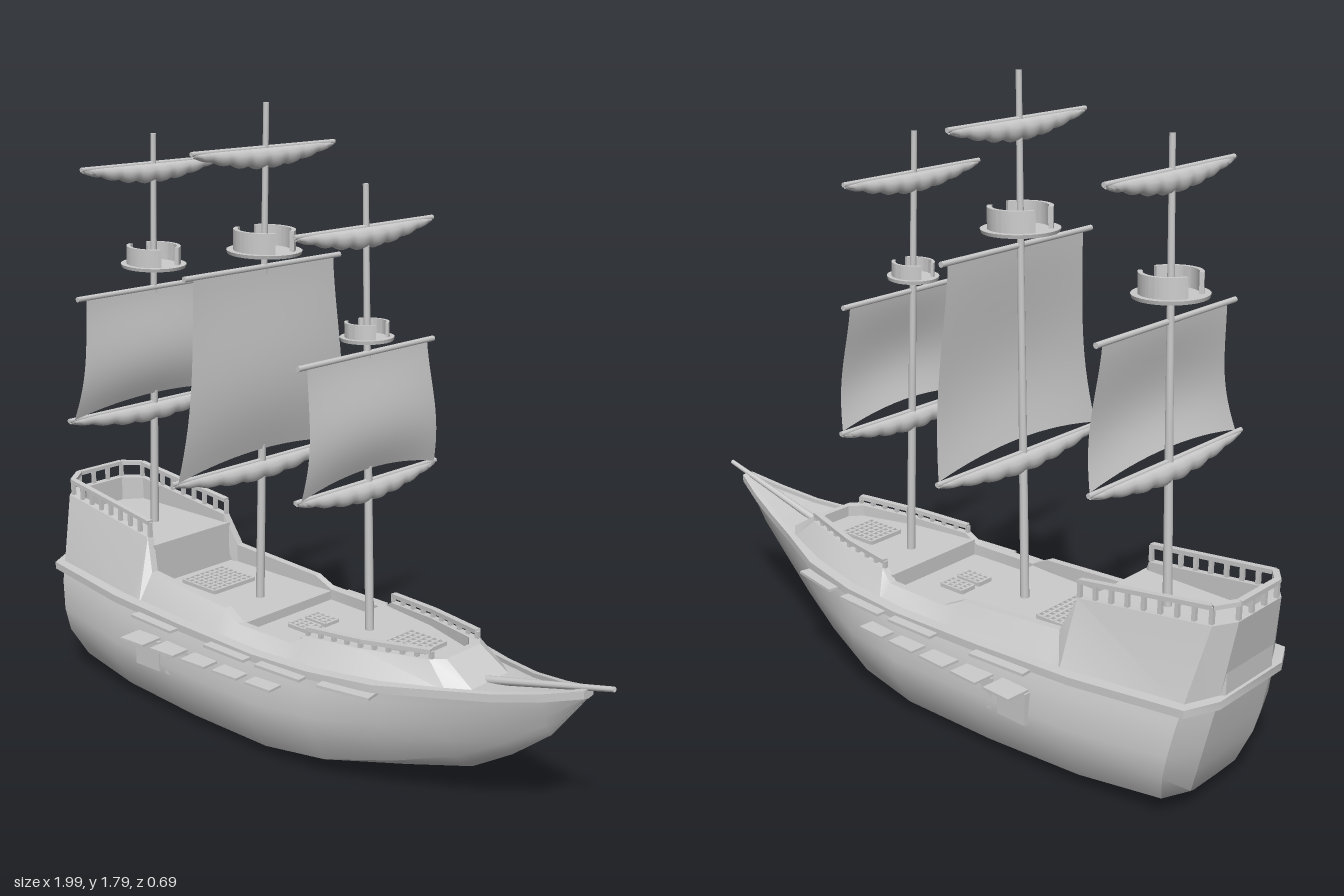
import * as THREE from 'three';
import { toCreasedNormals } from 'three/addons/utils/BufferGeometryUtils.js';

const V = (x, y, z) => new THREE.Vector3(x, y, z);
const grey = new THREE.MeshStandardMaterial({ color: 0xcccccc });
const thin = new THREE.MeshStandardMaterial({ color: 0xcccccc, side: THREE.DoubleSide });
const lerp = THREE.MathUtils.lerp;

function add(parent, name, geo, mat = grey, x = 0, y = 0, z = 0) {
  const m = new THREE.Mesh(geo, mat);
  m.name = name;
  m.position.set(x, y, z);
  parent.add(m);
  return m;
}

// Value of column c in a table sorted by column 0
function at(rows, x, c) {
  let i = 0;
  while (i < rows.length - 2 && x > rows[i + 1][0]) i++;
  const a = rows[i], b = rows[i + 1];
  return lerp(a[c], b[c], THREE.MathUtils.clamp((x - a[0]) / (b[0] - a[0]), 0, 1));
}

// Skin over a list of cross-sections
function loft(rows, closeRing = false, closePath = false, crease = 0.5) {
  const n = rows[0].length, m = rows.length, idx = [];
  for (let i = 0; i < (closePath ? m : m - 1); i++)
    for (let j = 0; j < (closeRing ? n : n - 1); j++) {
      const i2 = (i + 1) % m, j2 = (j + 1) % n;
      const a = i * n + j, b = i2 * n + j, c = i2 * n + j2, d = i * n + j2;
      idx.push(a, b, d, b, c, d);
    }
  const g = new THREE.BufferGeometry().setFromPoints(rows.flat());
  g.setIndex(idx);
  return toCreasedNormals(g, crease);
}

// Square bar between two points
function bar(parent, name, a, b, w, h) {
  const m = add(parent, name, new THREE.BoxGeometry(w, h, a.distanceTo(b)));
  m.position.copy(a).lerp(b, 0.5);
  m.lookAt(b);
}

// Hull stations: x at wale, x at keel, keel y, wale y, half width, sharpness
const stations = [
  [-0.955, -0.84, 0.03, 0.355, 0.13, 0], [-0.91, -0.81, 0.03, 0.35, 0.23, 0],
  [-0.6, -0.6, 0.012, 0.335, 0.265, 0], [-0.3, -0.3, 0.005, 0.33, 0.276, 0],
  [0, 0, 0.008, 0.325, 0.274, 0], [0.2, 0.2, 0.02, 0.33, 0.255, 0.15],
  [0.4, 0.4, 0.055, 0.34, 0.205, 0.45], [0.57, 0.57, 0.1, 0.355, 0.14, 0.75],
  [0.7, 0.7, 0.18, 0.37, 0.09, 0.9], [0.82, 0.82, 0.275, 0.395, 0.05, 1],
  [0.925, 0.92, 0.405, 0.425, 0.012, 1],
];
const fullH = [0, 0.015, 0.1, 0.37, 0.58, 0.85, 1], fullW = [0, 0.4, 0.78, 0.97, 1, 0.96, 0.9];
const sharpH = [0, 0.1, 0.25, 0.45, 0.65, 0.85, 1], sharpW = [0, 0.22, 0.42, 0.62, 0.8, 0.93, 1];
const waleY = x => at(stations, x, 3);
const waleZ = x => at(stations, x, 4) * lerp(0.9, 1, at(stations, x, 5));

// Upper works: x top, y top, z top, x bottom, z bottom
const upper = [
  [-0.985, 0.565, 0.095, -0.955, 0.117], [-0.945, 0.56, 0.15, -0.91, 0.207],
  [-0.55, 0.515, 0.165, -0.55, 0.235], [-0.51, 0.42, 0.185, -0.51, 0.24],
  [-0.18, 0.4, 0.195, -0.18, 0.245], [-0.12, 0.37, 0.2, -0.12, 0.245],
  [0.09, 0.37, 0.195, 0.09, 0.24], [0.13, 0.4, 0.185, 0.13, 0.235],
  [0.3, 0.407, 0.16, 0.3, 0.215], [0.5, 0.418, 0.105, 0.57, 0.12],
  [0.53, 0.418, 0.07, 0.62, 0.075],
];
const both = (list, f) => [...list.map(r => f(r, 1)), ...[...list].reverse().map(r => f(r, -1))];

function buildHull(ship) {
  const rows = stations.map(([x, xk, yk, yw, w, b]) => {
    const half = fullH.map((h, k) => {
      const t = lerp(h, sharpH[k], b);
      return V(lerp(xk, x, Math.sqrt(t)), lerp(yk, yw, t), w * lerp(fullW[k], sharpW[k], b));
    });
    return [...half.slice(1).reverse().map(p => V(p.x, p.y, -p.z)), ...half];
  });
  add(ship, 'hull', loft(rows), thin);
  add(ship, 'transom', loft([rows[0].slice(0, 7).reverse(), rows[0].slice(6)]), thin);
  add(ship, 'bowTip', loft([rows[10].slice(6), rows[10].slice(0, 7).reverse()]), thin);
  add(ship, 'beakDeck', loft(rows.slice(6).map(r => [r[12], r[0]])), thin);

  // Wale moulding round the hull
  const wale = both(stations, ([x, , , y, , ], s) => {
    const z = waleZ(x), e = x > 0.5 ? 0.008 : 0.022, back = x < -0.9 ? 0.018 : 0;
    return [V(x, y - 0.016, s * (z - 0.01)), V(x - back, y - 0.012, s * (z + e)),
      V(x - back, y + 0.01, s * (z + e)), V(x, y + 0.012, s * (z - 0.01))];
  });
  add(ship, 'wale', loft(wale, true, true), thin);

  // Bulwark with inner face
  const walls = both(upper, ([xt, yt, zt, xb, zb], s) => {
    const xi = xt < -0.9 ? xt + 0.025 : xt > 0.45 ? xt - 0.02 : xt;
    return [V(xb, waleY(xb), s * zb), V(xt, yt, s * zt), V(xi, yt, s * (zt - 0.022)), V(xi, yt - 0.09, s * (zt - 0.022))];
  });
  add(ship, 'bulwark', loft(walls, false, true, 0.4), thin);

  // Decks, each deep enough to form the bulkhead at its step
  for (const [name, x0, x1, y] of [['poopDeck', -0.965, -0.535, 0.49], ['quarterDeck', -0.54, -0.12, 0.365],
    ['waistDeck', -0.125, 0.11, 0.338], ['forecastleDeck', 0.1, 0.515, 0.385]]) {
    const xs = [x0, ...upper.map(r => r[0]).filter(x => x > x0 && x < x1), x1];
    const pts = both(xs, (x, s) => new THREE.Vector2(x, s * (at(upper, x, 2) - 0.018)));
    const g = new THREE.ExtrudeGeometry(new THREE.Shape(pts), { depth: 0.13, bevelEnabled: false });
    add(ship, name, g.rotateX(Math.PI / 2), grey, 0, y, 0);
  }
}

function buildRails(ship) {
  const rail = (name, list, h, step) => {
    for (let i = 0; i < list.length - 1; i++) {
      const a = list[i], b = list[i + 1], up = V(0, h, 0);
      bar(ship, name, a.clone().add(up), b.clone().add(up), 0.018, 0.012);
      const n = Math.max(1, Math.round(a.distanceTo(b) / step));
      for (let k = 0; k <= n; k++) {
        const p = a.clone().lerp(b, k / n);
        add(ship, name + 'Post', new THREE.BoxGeometry(0.011, h, 0.011), grey, p.x, p.y + h / 2, p.z);
      }
    }
  };
  const pt = (r, s) => V(r[0] + (r[0] < -0.9 ? 0.008 : 0), r[1], s * (r[2] - 0.01));
  const poop = both(upper.slice(0, 3), pt);
  rail('poopRail', [...poop.slice(3), ...poop.slice(0, 3)], 0.045, 0.05);
  for (const s of [1, -1]) rail('forecastleRail', upper.slice(7, 10).map(r => pt(r, s)), 0.02, 0.045);
}

function buildSideFittings(ship) {
  for (const s of [1, -1]) {
    // Gun ports with raised lids
    for (let i = 0; i < 5; i++) {
      const x = -0.43 + i * 0.122, z = 0.272 - 0.07 * (x + 0.43);
      add(ship, 'gunPort', new THREE.BoxGeometry(0.098, 0.09, 0.03), grey, x, 0.215, s * (z - 0.008)).rotation.y = s * 0.05;
      add(ship, 'gunPortLid', new THREE.BoxGeometry(0.092, 0.007, 0.075), grey, x, 0.267, s * (z + 0.03)).rotation.y = s * 0.07;
    }
    // Rigging channels
    for (const [x0, x1] of [[-0.48, -0.3], [-0.16, 0], [0.04, 0.2], [0.25, 0.41]]) {
      const x = (x0 + x1) / 2, turn = Math.atan2(waleZ(x0) - waleZ(x1), x1 - x0);
      add(ship, 'channel', new THREE.BoxGeometry(x1 - x0, 0.008, 0.06), grey, x, 0.322, s * (waleZ(x) + 0.022)).rotation.y = s * turn;
    }
  }
}

// Hatch grating: frame and crossing slats
function grating(ship, x, y, z, w, d) {
  const g = new THREE.Group();
  g.name = 'grating';
  g.position.set(x, y, z);
  ship.add(g);
  const nx = Math.round(w / 0.02), nz = Math.round(d / 0.02);
  for (let i = 0; i <= nx; i++)
    add(g, 'slat', new THREE.BoxGeometry(0.008, 0.012, d), grey, (i / nx - 0.5) * w, 0.004, 0);
  for (let i = 0; i <= nz; i++)
    add(g, 'slat', new THREE.BoxGeometry(w, 0.012, 0.008), grey, 0, 0.003, (i / nz - 0.5) * d);
}

// Yard with a furled, scalloped sail hanging below it
function furledYard(mast, y, half, depth) {
  const yard = new THREE.CylinderGeometry(0.007, 0.007, half * 2, 8).rotateX(Math.PI / 2);
  add(mast, 'yard', yard, grey, 0, y - 0.007, 0);
  const rows = [];
  for (let i = 0; i <= 48; i++) {
    const t = i / 24 - 1, swell = Math.cos(t * Math.PI / 2);
    const puff = 0.86 + 0.14 * Math.abs(Math.sin(i * Math.PI / 6));
    const h = (0.016 + (depth - 0.016) * swell) * puff, w = (0.006 + 0.02 * swell) * puff;
    rows.push(Array.from({ length: 10 }, (_, j) => {
      const a = j / 10 * Math.PI * 2;
      return V(w * Math.sin(a), y - 0.004 - h * (1 - Math.cos(a)) / 2, t * (half - 0.006));
    }));
  }
  add(mast, 'furledSail', loft(rows, true, false, 0.8), thin);
}

// Mast: foot, head, sail heights and widths, lookout size
function buildMast(ship, o) {
  const mast = new THREE.Group(), len = o.y1 - o.y0;
  mast.name = o.name;
  mast.position.set(o.x0, o.y0, 0);
  mast.rotation.z = -Math.atan2(o.x1 - o.x0, len);
  ship.add(mast);
  add(mast, 'mastPole', new THREE.CylinderGeometry(0.008, 0.013, len, 10), grey, 0, len / 2, 0);
  furledYard(mast, o.upperY - o.y0, o.upperHalf, 0.06);
  furledYard(mast, o.lowerY - o.y0, o.lowerHalf, 0.062);

  // Spread sail bellying forward, with its yard
  const top = o.sailTop - o.y0, bottom = o.sailBottom - o.y0;
  add(mast, 'sailYard', new THREE.CylinderGeometry(0.008, 0.008, o.topHalf * 2, 8).rotateX(Math.PI / 2), grey, 0.004, top, 0);
  const g = new THREE.PlaneGeometry(2, 1, 16, 14).rotateY(Math.PI / 2), p = g.attributes.position;
  for (let i = 0; i < p.count; i++) {
    const t = 0.5 - p.getY(i), u = p.getZ(i);
    const half = lerp(o.topHalf - 0.03, o.lowerHalf - 0.015, Math.pow(t, 1.3));
    const foot = (bottom - (o.lowerY - o.y0) + 0.005) * u * u * t;
    p.setXYZ(i, 0.008 + 0.027 * Math.sin(Math.PI * Math.pow(t, 1.4)) * (1 - 0.3 * u * u), lerp(top, bottom, t) - foot, u * half);
  }
  g.computeVertexNormals();
  add(mast, 'sail', g, thin);

  // Lookout platform with two curved guards
  const y = o.topY - o.y0, r = o.topR;
  add(mast, 'lookoutFloor', new THREE.CylinderGeometry(r, r * 0.97, 0.01, 28), grey, 0, y, 0);
  for (const s of [0, Math.PI]) {
    const shape = new THREE.Shape(), a = 0.42;
    shape.absarc(0, 0, r * 0.82, a, Math.PI - a, false);
    shape.absarc(0, 0, r * 0.7, Math.PI - a, a, true);
    const wall = new THREE.ExtrudeGeometry(shape, { depth: r * 0.55, bevelEnabled: false, curveSegments: 16 });
    add(mast, 'lookoutGuard', toCreasedNormals(wall.rotateX(-Math.PI / 2), 0.5), grey, 0, y + 0.004, 0).rotation.y = s;
  }
}

export function createModel() {
  const ship = new THREE.Group();
  ship.name = 'sailingShip';
  buildHull(ship);
  buildRails(ship);
  buildSideFittings(ship);
  grating(ship, -0.42, 0.367, 0, 0.14, 0.16);
  grating(ship, 0.36, 0.387, 0, 0.12, 0.12);
  for (const s of [1, -1]) grating(ship, -0.02, 0.34, s * 0.035, 0.08, 0.05);

  // Bowsprit
  const sprit = new THREE.CylinderGeometry(0.007, 0.012, 0.43, 10).rotateZ(-Math.PI / 2 + 0.24);
  add(ship, 'bowsprit', sprit, grey, 0.79, 0.405, 0);

  buildMast(ship, { name: 'mizzenMast', x0: -0.713, y0: 0.48, x1: -0.67, y1: 1.69, upperY: 1.61, upperHalf: 0.265,
    lowerY: 0.885, lowerHalf: 0.325, sailTop: 1.235, sailBottom: 0.91, topHalf: 0.29, topY: 1.302, topR: 0.098 });
  buildMast(ship, { name: 'mainMast', x0: -0.24, y0: 0.35, x1: -0.196, y1: 1.8, upperY: 1.685, upperHalf: 0.27,
    lowerY: 0.795, lowerHalf: 0.34, sailTop: 1.352, sailBottom: 0.825, topHalf: 0.3, topY: 1.394, topR: 0.106 });
  buildMast(ship, { name: 'foreMast', x0: 0.197, y0: 0.36, x1: 0.17, y1: 1.61, upperY: 1.505, upperHalf: 0.265,
    lowerY: 0.82, lowerHalf: 0.28, sailTop: 1.165, sailBottom: 0.85, topHalf: 0.265, topY: 1.205, topR: 0.073 });
  return ship;
}
